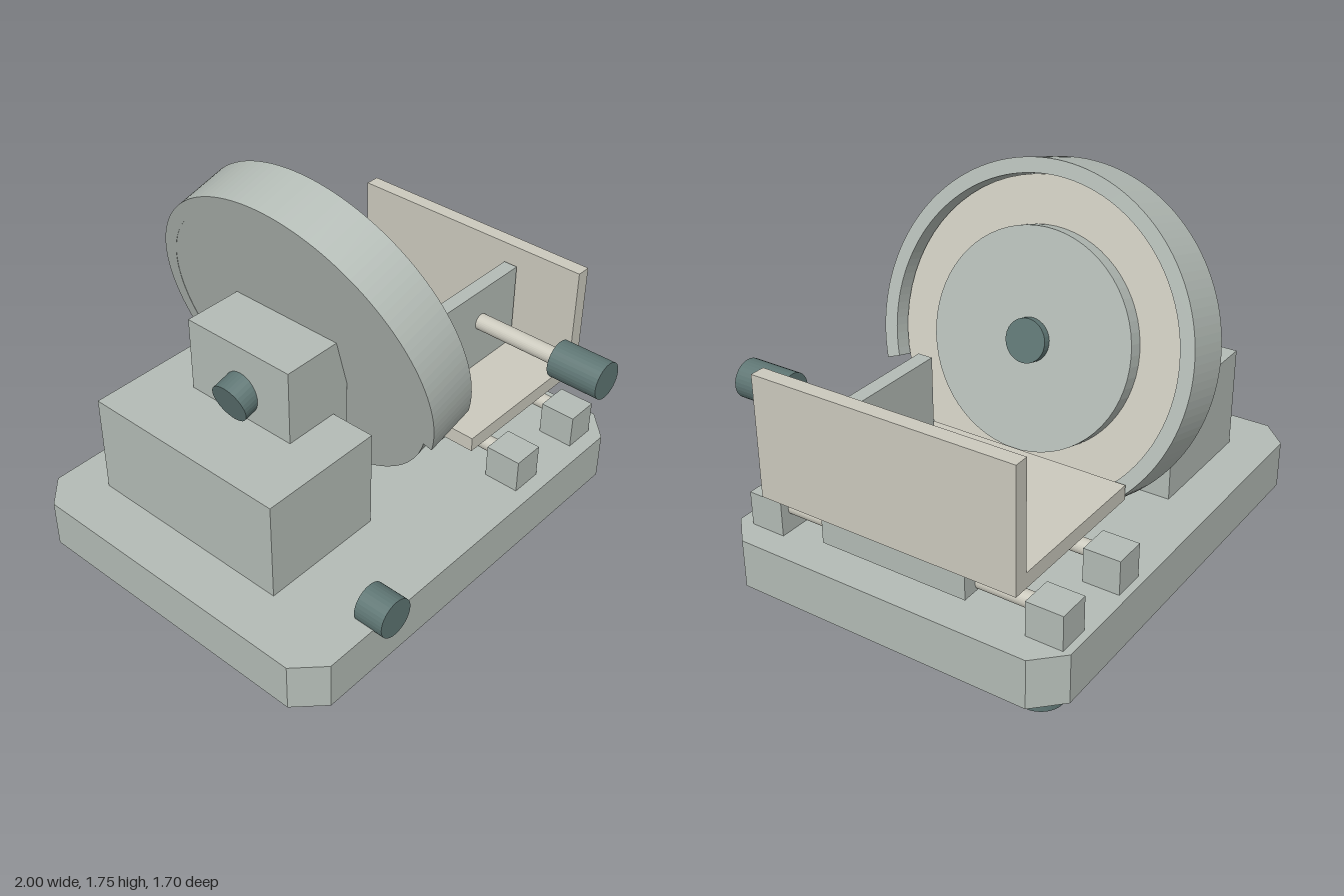
import * as THREE from 'three';

const mat = (color) => new THREE.MeshStandardMaterial({ color, flatShading: true });
const body = mat(0xb4bcb6);
const steel = mat(0xcccabe);
const dark = mat(0x5f7674);

export function createModel() {
  const model = new THREE.Group();
  model.name = 'slicer';

  const add = (parent, name, geometry, material) => {
    const mesh = new THREE.Mesh(geometry, material);
    mesh.name = name;
    parent.add(mesh);
    return mesh;
  };
  // Box given by its limits on each axis
  const box = (name, [x0, x1], [y0, y1], [z0, z1], material) =>
    add(model, name, new THREE.BoxGeometry(x1 - x0, y1 - y0, z1 - z0), material)
      .position.set((x0 + x1) / 2, (y0 + y1) / 2, (z0 + z1) / 2);
  // Cylinder along z
  const rodZ = (name, x, y, r, z0, z1, material) => {
    const g = new THREE.CylinderGeometry(r, r, z1 - z0, 32).rotateX(Math.PI / 2);
    add(model, name, g, material).position.set(x, y, (z0 + z1) / 2);
  };

  // Base plate with chamfered corners
  const [zb, zf, c] = [-0.835, 0.728, 0.115];
  const outline = new THREE.Shape([
    [-1, -zf + c], [-1 + c, -zf], [1 - c, -zf], [1, -zf + c],
    [1, -zb - c], [1 - c, -zb], [-1 + c, -zb], [-1, -zb - c],
  ].map(([x, y]) => new THREE.Vector2(x, y)));
  const baseGeo = new THREE.ExtrudeGeometry(outline, { depth: 0.215, bevelEnabled: false });
  add(model, 'base', baseGeo.rotateX(-Math.PI / 2), body).position.y = 0.135;

  // Feet
  for (const x of [-0.77, 0.765]) for (const z of [0.5, -0.635]) {
    add(model, 'foot', new THREE.CylinderGeometry(0.1, 0.1, 0.137, 32), dark).position.set(x, 0.0685, z);
  }

  // Motor housing, blade bearing and thickness knob
  box('motorHousing', [-0.77, -0.2], [0.35, 0.8], [-0.64, 0.326], body);
  box('bearingBlock', [-0.45, -0.12], [0.64, 1.135], [-0.42, 0.123], body);
  rodZ('thicknessKnob', -0.57, 0.383, 0.085, 0.637, 0.772, dark);

  // Tilted blade assembly: local x is the blade axis
  const blade = new THREE.Group();
  blade.name = 'bladeAssembly';
  blade.position.set(-0.031, 1.031, -0.137);
  blade.rotation.z = Math.PI / 12;
  model.add(blade);
  const disc = (name, r, s0, s1, material, sides = 64) => {
    const g = new THREE.CylinderGeometry(r, r, s1 - s0, sides).rotateZ(-Math.PI / 2);
    add(blade, name, g, material).position.x = (s0 + s1) / 2;
  };
  disc('backPlate', 0.67, -0.117, -0.04, body);
  disc('blade', 0.645, 0.022, 0.05, steel);
  disc('bladeCover', 0.45, 0.05, 0.12, body);
  disc('bladeShaft', 0.09, -0.04, 0.022, dark, 32);
  disc('frontBolt', 0.09, 0.12, 0.155, dark, 32);
  disc('rearKnob', 0.09, -0.504, -0.38, dark, 32);

  // Guard ring, open for a quarter turn at the lower front
  const [a0, a1] = [290, 560].map(THREE.MathUtils.degToRad);
  const arc = new THREE.Shape();
  arc.absarc(0, 0, 0.711, a0, a1, false);
  arc.absarc(0, 0, 0.65, a1, a0, true);
  arc.closePath();
  const ring = new THREE.ExtrudeGeometry(arc, { depth: 0.237, bevelEnabled: false, curveSegments: 48 });
  add(blade, 'guardRing', ring.translate(0, 0, -0.1185).rotateY(Math.PI / 2), body);

  // Slide rails with their end blocks
  for (const x of [0.4175, 0.8125]) {
    rodZ('rail', x, 0.453, 0.033, -0.72, 0.58, steel);
    for (const z of [-0.722, 0.58]) {
      box('railBlock', [x - 0.0725, x + 0.0725], [0.35, 0.5], [z - 0.08, z + 0.08], body);
    }
  }

  // Sliding carriage with food pusher
  box('slideBlock', [0.315, 0.91], [0.42, 0.57], [-0.4, 0.268], body);
  box('tray', [0.21, 0.9], [0.57, 0.635], [-0.657, 0.514], steel);
  box('trayWall', [0.9, 0.965], [0.57, 1.1], [-0.657, 0.514], steel);
  box('pusherPlate', [0.35, 0.885], [0.635, 1.015], [0.145, 0.21], body);
  rodZ('pusherRod', 0.645, 0.853, 0.037, 0.21, 0.612, steel);
  rodZ('pusherHandle', 0.645, 0.853, 0.083, 0.612, 0.848, dark);

  return model;
}
